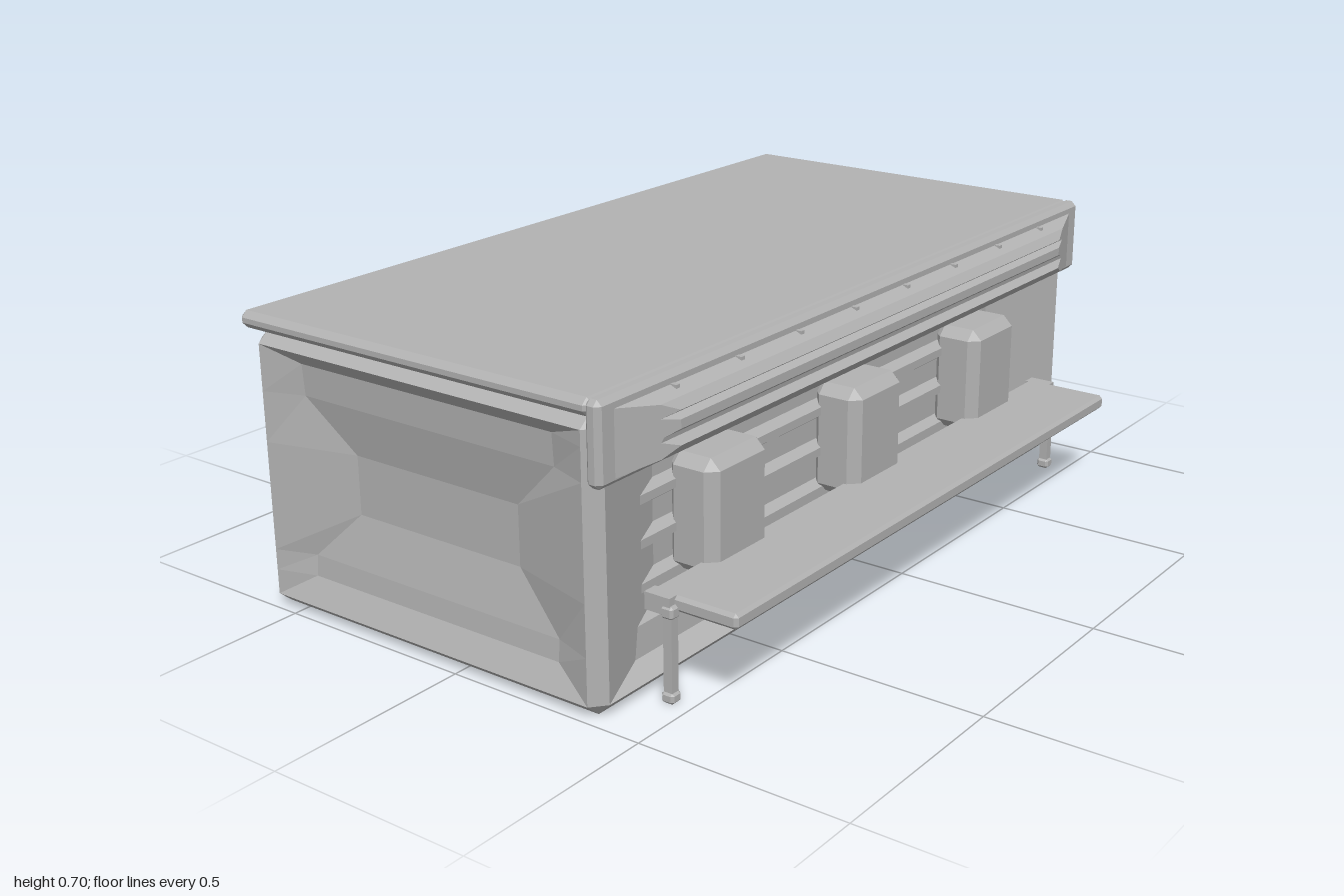
import * as THREE from 'three';
import { ConvexGeometry } from 'three/addons/geometries/ConvexGeometry.js';

const grey = new THREE.MeshStandardMaterial({ color: 0xb2b2b2, flatShading: true, side: THREE.DoubleSide });
grey.name = 'plain grey';

// Flat-shaded geometry from a list of four-cornered faces.
function fromQuads(quads) {
  const pos = [];
  const v = quads.map(q => q.map(p => new THREE.Vector3(...p)));
  for (const [a, b, c, d] of v) {
    for (const t of [[a, b, c], [a, c, d]]) {
      if (new THREE.Triangle(...t).getArea() < 1e-7) continue;
      for (const p of t) pos.push(p.x, p.y, p.z);
    }
  }
  const g = new THREE.BufferGeometry();
  g.setAttribute('position', new THREE.Float32BufferAttribute(pos, 3));
  g.computeVertexNormals();
  return g;
}

// Panel facing +z: each row is [height, depth inwards, half width at that depth].
function panel(rim, rows) {
  const quads = [];
  const cols = ([y, d, e]) => [[-rim, y, 0], [-e, y, -d], [e, y, -d], [rim, y, 0]];
  for (let i = 0; i + 1 < rows.length; i++) {
    const lo = cols(rows[i]), hi = cols(rows[i + 1]);
    for (let k = 0; k < 3; k++) quads.push([lo[k], lo[k + 1], hi[k + 1], hi[k]]);
  }
  return fromQuads(quads);
}

// Box with all edges cut at 45 degrees.
function chamferBox(w, h, d, c) {
  const pts = [];
  for (const x of [-1, 1]) for (const y of [-1, 1]) for (const z of [-1, 1]) {
    for (let k = 0; k < 3; k++) {
      pts.push(new THREE.Vector3(
        x * (w / 2 - (k === 0 ? 0 : c)),
        y * (h / 2 - (k === 1 ? 0 : c)),
        z * (d / 2 - (k === 2 ? 0 : c))));
    }
  }
  return new ConvexGeometry(pts);
}

// Bevelled corner posts, bottom and top of the body; the walls stay open for the panels.
function bodyFrame() {
  const X = 0.99, x = 0.955, F = 0.39, f = 0.36, B = -0.59, b = -0.56;
  const outline = y => [[x, y, F], [X, y, f], [X, y, b], [x, y, B], [-x, y, B], [-X, y, b], [-X, y, f], [-x, y, F]];
  const inner = y => [[x, y, f], [x, y, f], [x, y, b], [x, y, b], [-x, y, b], [-x, y, b], [-x, y, f], [-x, y, f]];
  const rings = [inner(0), outline(0.03), outline(0.63), inner(0.66)];
  const quads = [];
  for (let r = 0; r < 3; r++) {
    for (let i = 0; i < 8; i++) {
      if (r === 1 && i % 2 === 1) continue;
      const j = (i + 1) % 8;
      quads.push([rings[r][i], rings[r][j], rings[r + 1][j], rings[r + 1][i]]);
    }
  }
  quads.push([[-x, 0, b], [x, 0, b], [x, 0, f], [-x, 0, f]]);
  quads.push([[-x, 0.66, f], [x, 0.66, f], [x, 0.66, b], [-x, 0.66, b]]);
  return fromQuads(quads);
}

export function createModel() {
  const model = new THREE.Group();
  model.name = 'building';
  const add = (name, geo, x = 0, y = 0, z = 0, turn = 0) => {
    const m = new THREE.Mesh(geo, grey);
    m.name = name;
    m.position.set(x, y, z);
    m.rotation.y = turn;
    model.add(m);
  };

  add('bodyFrame', bodyFrame());

  // Long walls: recessed, with horizontal ribs whose ends run out on the sloping cheeks
  const wall = [[0.03, 0], [0.06, 0.045], [0.13, 0.05], [0.155, 0.08]];
  for (const y of [0.18, 0.28, 0.38, 0.48]) {
    wall.push([y, 0.08], [y + 0.015, 0.058], [y + 0.035, 0.058], [y + 0.05, 0.08]);
  }
  wall.push([0.55, 0.08], [0.57, 0.05], [0.6, 0.045], [0.63, 0]);
  const wallGeo = panel(0.955, wall.map(([y, d]) => [y, d, 0.955 - 3.1 * d]));
  add('frontWall', wallGeo, 0, 0, 0.39);
  add('backWall', wallGeo, 0, 0, -0.59, Math.PI);

  // End walls: stepped, sunken panels
  const endGeo = panel(0.46, [
    [0.03, 0, 0.46], [0.09, 0.03, 0.36], [0.14, 0.035, 0.36], [0.26, 0.06, 0.235],
    [0.4, 0.06, 0.235], [0.52, 0.035, 0.36], [0.595, 0.03, 0.36], [0.63, 0, 0.46]]);
  add('leftWall', endGeo, 0.99, 0, -0.1, Math.PI / 2);
  add('rightWall', endGeo, -0.99, 0, -0.1, -Math.PI / 2);

  // Roof slab and the fascia across the front
  add('roof', chamferBox(2, 0.04, 1.0, 0.014), 0, 0.68, -0.11);
  add('fascia', chamferBox(2, 0.185, 0.04, 0.012), 0, 0.6075, 0.395);

  // Swelling ribbed band on the fascia
  const band = [[0.53, 0], [0.545, 0.035], [0.565, 0.05], [0.58, 0.035], [0.59, 0.037],
    [0.6, 0.05], [0.62, 0.05], [0.63, 0.035], [0.64, 0.05], [0.66, 0.035], [0.675, 0]];
  add('fasciaBand', panel(0.955, band.map(([y, d]) => [y, -d, 0.955 - 3 * d])), 0, 0, 0.414);
  for (let i = 0; i < 8; i++) {
    add('fasciaClip', new THREE.BoxGeometry(0.012, 0.012, 0.02), -0.77 + i * 0.22, 0.67, 0.42);
  }

  // Three upright blocks standing behind the shelf
  for (const x of [-0.55, 0, 0.55]) {
    add('uprightBlock', chamferBox(0.21, 0.27, 0.13, 0.025), x, 0.335, 0.365);
  }

  // Long shelf with end brackets and legs
  add('shelf', chamferBox(1.64, 0.036, 0.22, 0.008), 0, 0.222, 0.5);
  for (const s of [-1, 1]) {
    add('shelfBracket', new THREE.BoxGeometry(0.035, 0.04, 0.065), s * 0.82, 0.22, 0.422);
    add('leg', new THREE.BoxGeometry(0.022, 0.2, 0.022), s * 0.825, 0.11, 0.447);
    add('legCap', chamferBox(0.032, 0.03, 0.032, 0.006), s * 0.825, 0.207, 0.447);
    add('legFoot', chamferBox(0.032, 0.026, 0.032, 0.006), s * 0.825, 0.013, 0.447);
  }
  return model;
}
